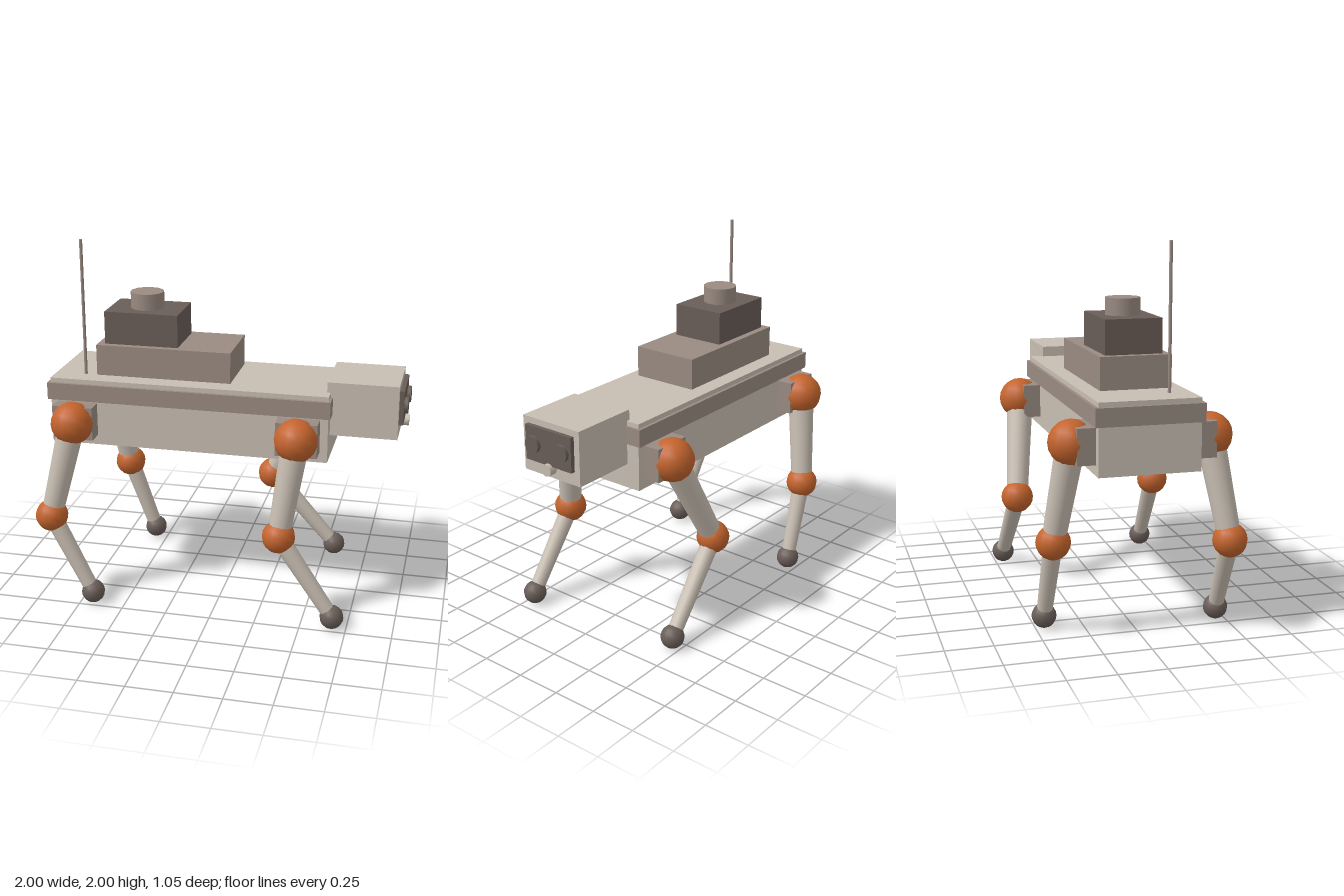
import * as THREE from 'three';

const material = (name, color) => {
  const m = new THREE.MeshStandardMaterial({ color });
  m.name = name;
  return m;
};

export function createModel() {
  const shell = material('pale shell', 0xc8beb2);
  const trim = material('taupe trim', 0x9a8b82);
  const dark = material('dark housing', 0x695d57);
  const joint = material('orange joint', 0xc4642d);

  const robot = new THREE.Group();
  robot.name = 'quadrupedRobot';

  const add = (parent, name, geometry, mat, x = 0, y = 0, z = 0) => {
    const mesh = new THREE.Mesh(geometry, mat);
    mesh.name = name;
    mesh.position.set(x, y, z);
    parent.add(mesh);
    return mesh;
  };
  // Box given by its extents in x and y, and its half depth
  const block = (name, mat, x0, x1, y0, y1, halfZ) =>
    add(robot, name, new THREE.BoxGeometry(x1 - x0, y1 - y0, halfZ * 2), mat, (x0 + x1) / 2, (y0 + y1) / 2, 0);
  const ball = (parent, name, mat, r, p) =>
    add(parent, name, new THREE.SphereGeometry(r, 14, 10), mat, p.x, p.y, p.z);
  // Tapered rod from a to b
  const rod = (parent, name, mat, a, b, ra, rb, sides = 14) => {
    const dir = b.clone().sub(a);
    const mesh = add(parent, name, new THREE.CylinderGeometry(rb, ra, dir.length(), sides), mat);
    mesh.position.copy(a).add(b).multiplyScalar(0.5);
    mesh.quaternion.setFromUnitVectors(new THREE.Vector3(0, 1, 0), dir.normalize());
    return mesh;
  };
  const v = (x, y, z) => new THREE.Vector3(x, y, z);

  // Torso
  block('torso', shell, -0.945, 0.595, 0.88, 1.2, 0.263);
  block('sideRail', trim, -0.96, 0.607, 1.13, 1.225, 0.28);
  block('backPlate', shell, -0.945, 0.595, 1.2, 1.25, 0.263);

  // Equipment stack and antenna
  block('payloadBase', trim, -0.7, 0.05, 1.26, 1.43, 0.187);
  block('payloadHousing', dark, -0.66, -0.25, 1.43, 1.61, 0.15);
  rod(robot, 'sensorTurret', trim, v(-0.457, 1.61, 0), v(-0.457, 1.7, 0), 0.092, 0.092);
  rod(robot, 'antenna', trim, v(-0.777, 1.25, 0.15), v(-0.777, 2, 0.15), 0.009, 0.009, 8);

  // Head with sensor face
  block('head', shell, 0.575, 0.955, 1.012, 1.307, 0.187);
  block('facePlate', dark, 0.955, 0.979, 1.085, 1.273, 0.153);
  for (const z of [-0.095, 0.095]) {
    rod(robot, 'cameraLens', dark, v(0.97, 1.18, z), v(0.999, 1.18, z), 0.045, 0.045);
  }
  rod(robot, 'chinLamp', shell, v(0.95, 1.066, 0), v(1, 1.066, 0), 0.032, 0.032);

  // Legs: hip x, side, knee x, foot x
  const legs = [
    ['frontLeftSideLeg', 0.44, 1, 0.37, 0.67],
    ['rearLeftSideLeg', -0.795, 1, -0.91, -0.68],
    ['frontRightSideLeg', 0.44, -1, 0.18, 0.558],
    ['rearRightSideLeg', -0.795, -1, -0.72, -0.57],
  ];
  for (const [name, hipX, side, kneeX, footX] of legs) {
    const leg = new THREE.Group();
    leg.name = name;
    robot.add(leg);
    const hip = v(hipX, 1.03, side * 0.36);
    const knee = v(kneeX, 0.505, side * 0.436);
    const foot = v(footX, 0.066, side * 0.453);
    add(leg, 'hipMount', new THREE.BoxGeometry(0.225, 0.185, 0.11), trim, hipX, 1.028, side * 0.303);
    ball(leg, 'hipJoint', joint, 0.117, hip);
    rod(leg, 'upperLeg', shell, hip, knee, 0.075, 0.06);
    ball(leg, 'kneeJoint', joint, 0.09, knee);
    rod(leg, 'lowerLeg', shell, knee, foot, 0.05, 0.04);
    ball(leg, 'foot', dark, 0.065, foot);
  }
  return robot;
}
